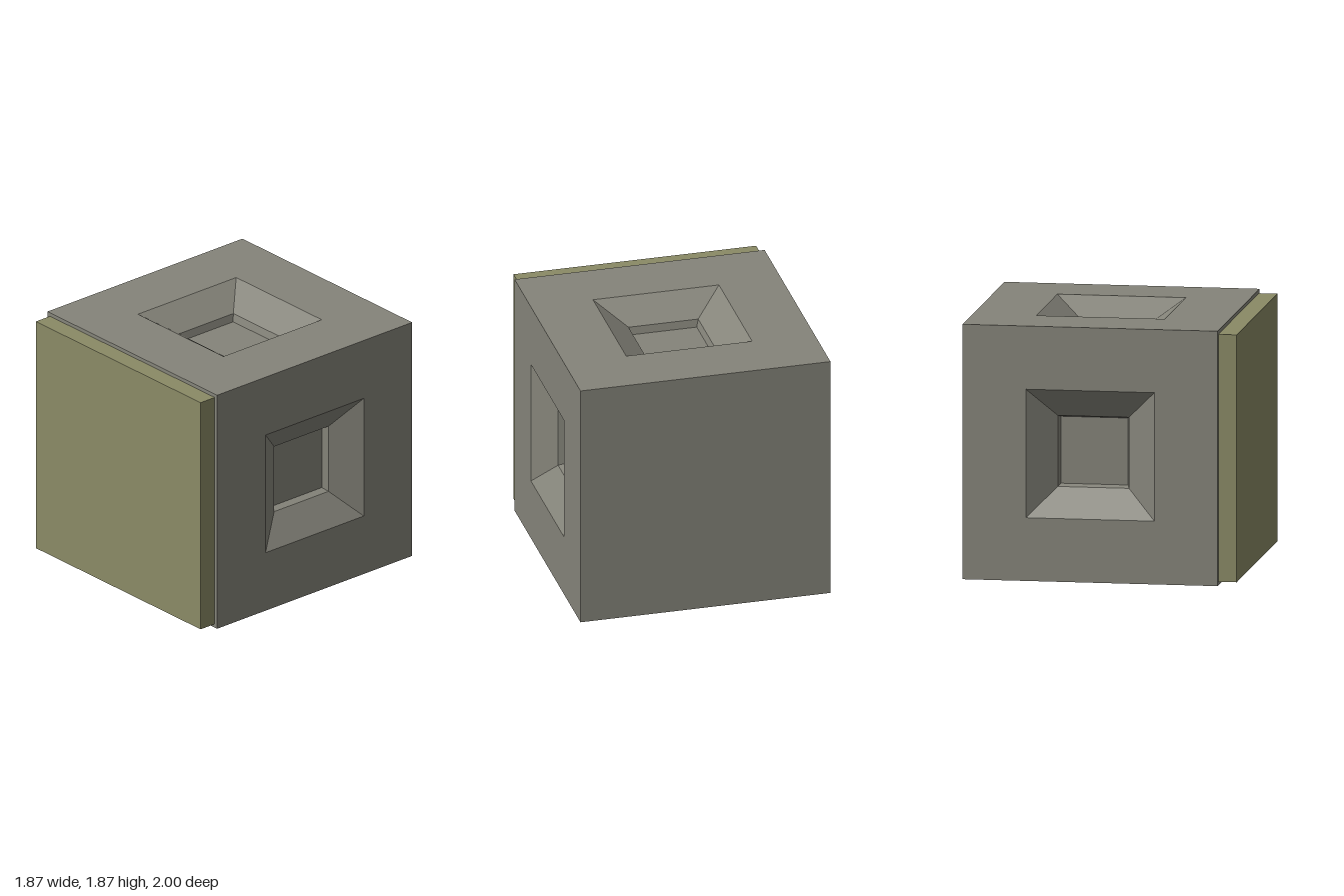
import * as THREE from 'three';

const HALF = 0.9325; // half the body cube's edge

export function createModel() {
  const model = new THREE.Group();
  const grey = new THREE.MeshStandardMaterial({ color: 0x85847a });
  grey.name = 'warm grey';
  const olive = new THREE.MeshStandardMaterial({ color: 0x8a8a66 });
  olive.name = 'olive';

  const add = (parent, geometry, material, name) => {
    const mesh = new THREE.Mesh(geometry, material);
    mesh.name = name;
    parent.add(mesh);
    return mesh;
  };

  const body = new THREE.Group();
  body.name = 'body';
  body.position.set(0, HALF, -0.0675);
  model.add(body);

  // Recessed side: a four-sided lathe of [half width, depth] steps from rim to floor
  const steps = [[HALF, 0], [0.47, 0], [0.26, 0.147], [0.245, 0.203], [0, 0.203]];
  const profile = steps.map(([w, d]) => new THREE.Vector2(w * Math.SQRT2, HALF - d));
  const panel = new THREE.LatheGeometry(profile, 4, Math.PI / 4).toNonIndexed();
  panel.computeVertexNormals();

  // Top, left, bottom and right share the same recess
  ['topPanel', 'leftPanel', 'bottomPanel', 'rightPanel'].forEach((name, i) => {
    add(body, panel, grey, name).rotation.z = -i * Math.PI / 2;
  });

  // Plain front and back of the body
  const plain = new THREE.PlaneGeometry(HALF * 2, HALF * 2);
  add(body, plain, grey, 'frontPanel').position.z = HALF;
  const back = add(body, plain, grey, 'backPanel');
  back.position.z = -HALF;
  back.rotation.y = Math.PI;

  // Raised front plate, slightly smaller than the body
  const plate = add(model, new THREE.BoxGeometry(1.81, 1.81, 0.135), olive, 'frontPlate');
  plate.position.set(0, HALF, 0.9325);

  return model;
}
